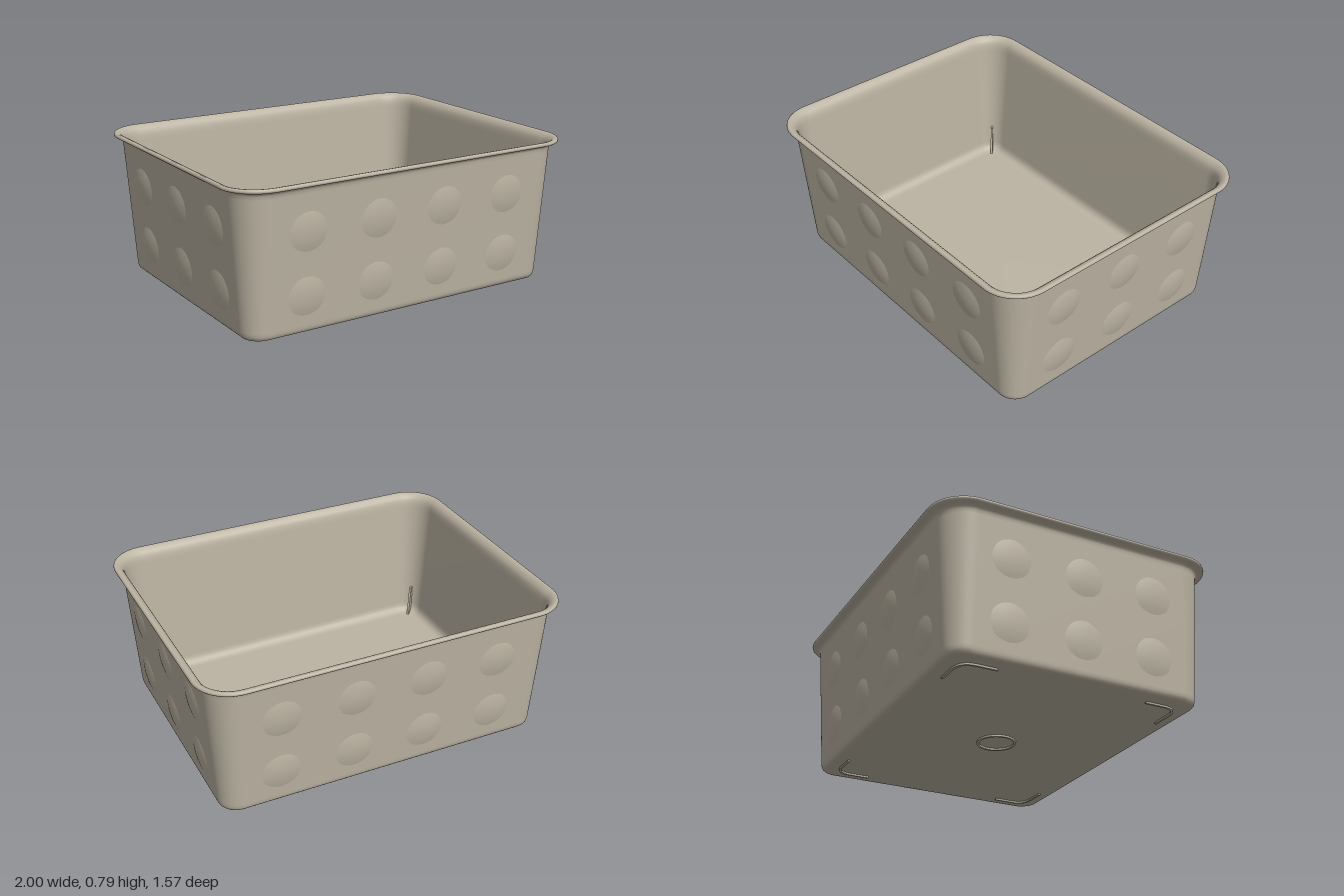
import * as THREE from 'three';

const beige = new THREE.MeshStandardMaterial({ color: 0xbcb4a3 });
beige.name = 'beige plastic';

const HX = 1, HZ = 0.785, R = 0.2; // rim half sizes and corner radius

// Rounded rectangle loop, inset by e from the rim outline
function loop(e, steps = 14) {
  const r = Math.max(R - e, 0.02), points = [];
  for (let c = 0; c < 4; c++) {
    const sx = c === 0 || c === 3 ? 1 : -1, sz = c < 2 ? 1 : -1;
    for (let k = 0; k <= steps; k++) {
      const a = (c + k / steps) * Math.PI / 2;
      points.push([sx * (HX - e - r) + r * Math.cos(a), sz * (HZ - e - r) + r * Math.sin(a)]);
    }
  }
  return points;
}

// Shell section as [inset, y], from under the floor, over the rim, to the inside floor
const section = [
  [null, 0.01], [0.135, 0.01], [0.125, 0.01], [0.111, 0.014], [0.102, 0.023], [0.097, 0.037], [0.095, 0.055],
  [0.048, 0.725], [0.046, 0.745], [0.04, 0.756], [0.03, 0.763], [0.016, 0.767], [0.006, 0.769], [0.001, 0.774],
  [0, 0.779], [0.002, 0.786], [0.008, 0.79], [0.018, 0.789], [0.032, 0.783], [0.045, 0.77], [0.053, 0.755],
  [0.057, 0.735], [0.06, 0.71],
  [0.106, 0.08], [0.109, 0.06], [0.115, 0.045], [0.126, 0.033], [0.14, 0.027], [0.152, 0.025], [0.165, 0.025], [null, 0.025],
];

function shellGeometry() {
  const pos = [], index = [], n = loop(0).length;
  for (const [e, y] of section) {
    for (const [x, z] of loop(e ?? 0)) pos.push(e === null ? 0 : x, y, e === null ? 0 : z);
  }
  for (let i = 0; i < section.length - 1; i++) {
    for (let j = 0; j < n; j++) {
      const k = (j + 1) % n, a = i * n + j, b = i * n + k, c = a + n, d = b + n;
      if (section[i][0] !== null) index.push(a, c, b);
      if (section[i + 1][0] !== null) index.push(b, c, d);
      else if (section[i][0] === null) index.push(b, c, d);
    }
  }
  const g = new THREE.BufferGeometry();
  g.setAttribute('position', new THREE.Float32BufferAttribute(pos, 3));
  g.setIndex(index);
  g.computeVertexNormals();
  return g;
}

// Shallow round cap pointing along +z
function domeGeometry(radius, rise) {
  const points = [];
  for (let i = 0; i <= 10; i++) {
    const t = 1 - i / 10;
    points.push(new THREE.Vector2(radius * t, rise * (1 - t * t)));
  }
  return new THREE.LatheGeometry(points, 40).rotateX(Math.PI / 2);
}

export function createModel() {
  const model = new THREE.Group();
  model.name = 'storageTub';
  const add = (name, geometry, parent = model) => {
    const mesh = new THREE.Mesh(geometry, beige);
    mesh.name = name;
    parent.add(mesh);
    return mesh;
  };

  add('tubShell', shellGeometry());

  // Rows of shallow domes on the four walls
  const dome = domeGeometry(0.115, 0.014);
  const walls = [
    ['front', 0, HZ, [-0.6, -0.2, 0.2, 0.6]], ['left', Math.PI / 2, HX, [-0.4, 0, 0.4]],
    ['back', Math.PI, HZ, [-0.6, -0.2, 0.2, 0.6]], ['right', -Math.PI / 2, HX, [-0.4, 0, 0.4]],
  ];
  for (const [side, turn, half, columns] of walls) {
    const wall = new THREE.Group();
    wall.name = side + 'WallDomes';
    wall.rotation.y = turn;
    for (const y of [0.22, 0.55]) {
      const inset = 0.095 - 0.047 * (y - 0.055) / 0.67;
      for (const x of columns) {
        const bump = add('wallDome', dome, wall);
        bump.position.set(x, y, half - inset - 0.003);
        bump.rotation.x = 0.035;
      }
    }
    model.add(wall);
  }

  // Thin upright ribs in the inner corners
  const ribShape = new THREE.Shape([[0.035, 0.02], [0.075, 0.02], [0.097, 0.06], [0.108, 0.19], [0.075, 0.19]]
    .map(([x, y]) => new THREE.Vector2(x, y)));
  const rib = new THREE.ExtrudeGeometry(ribShape, { depth: 0.012, bevelEnabled: false }).translate(0, 0, -0.006);

  // Thin angled feet with a rounded corner, under each corner
  const foot = new THREE.Shape();
  foot.moveTo(0.61, 0.608).lineTo(0.72, 0.608).quadraticCurveTo(0.815, 0.608, 0.815, 0.52).lineTo(0.815, 0.41);
  foot.lineTo(0.803, 0.41).lineTo(0.803, 0.52).quadraticCurveTo(0.803, 0.596, 0.72, 0.596).lineTo(0.61, 0.596);

  for (const sx of [1, -1]) {
    for (const sz of [1, -1]) {
      const r = add('cornerRib', rib);
      r.position.set(sx * 0.8, 0, sz * 0.585);
      r.rotation.y = -Math.atan2(sz, sx);
      const mirrored = new THREE.Shape(foot.getPoints(8).map(p => new THREE.Vector2(p.x * sx, p.y * sz)));
      add('cornerFoot', new THREE.ExtrudeGeometry(mirrored, { depth: 0.013, bevelEnabled: false })
        .rotateX(Math.PI / 2).translate(0, 0.013, 0));
    }
  }

  // Round foot under the middle of the floor
  const ring = new THREE.Shape().absarc(0, 0, 0.105, 0, Math.PI * 2);
  ring.holes.push(new THREE.Path().absarc(0, 0, 0.092, 0, Math.PI * 2, true));
  add('centreRingFoot', new THREE.ExtrudeGeometry(ring, { depth: 0.013, bevelEnabled: false, curveSegments: 32 })
    .rotateX(Math.PI / 2).translate(0, 0.013, 0));

  return model;
}
